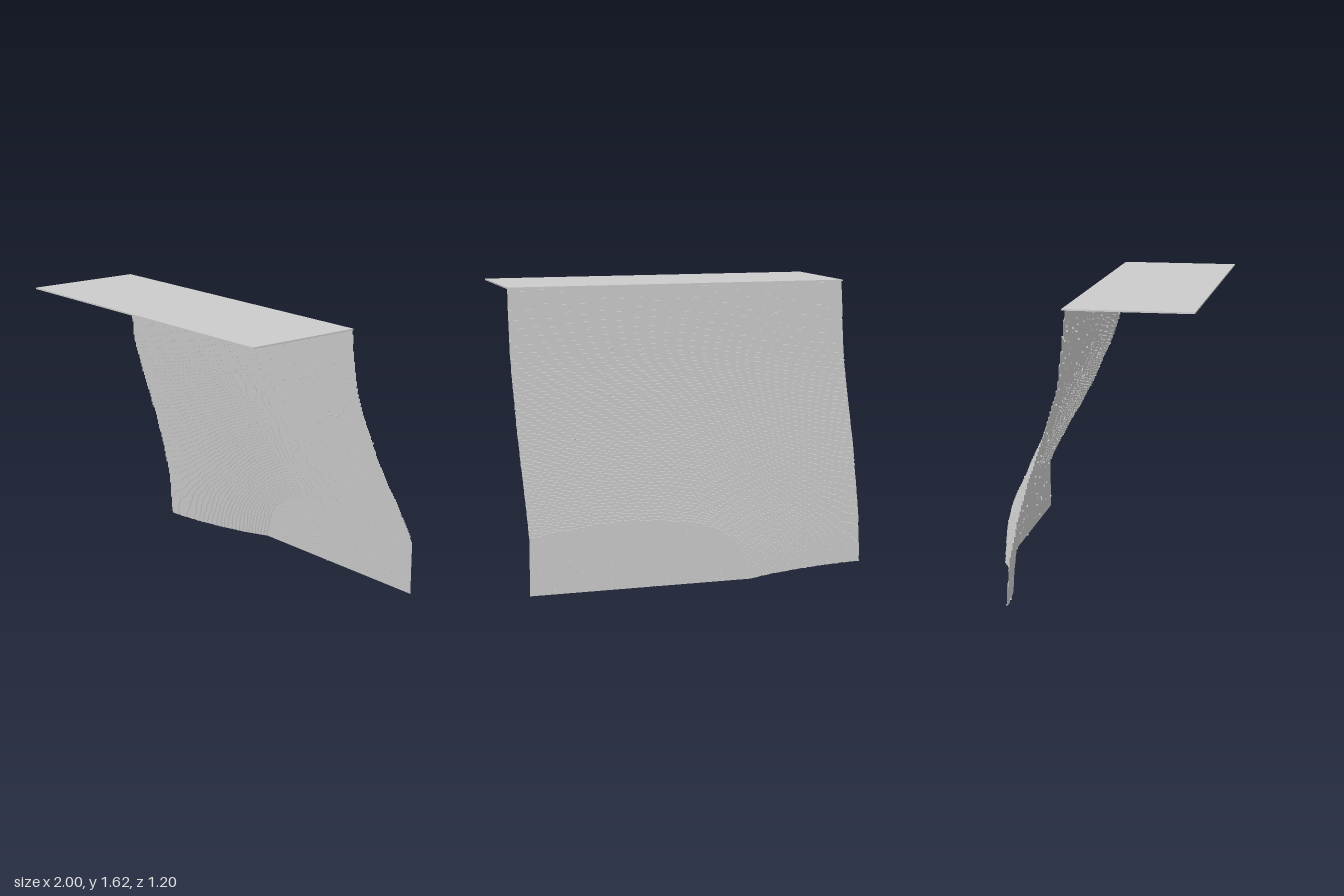
import * as THREE from 'three';

const CELL = 1 / 120, COLS = 240, ROWS = 194, FLOOR = -71;

// Smooth curve through evenly spaced values, sampled by t in 0..1
function smoothCurve(values) {
  const curve = new THREE.SplineCurve(values.map((v, i) => new THREE.Vector2(i, v)));
  return t => curve.getPoint(t).y;
}

// Slope profiles (z every 0.2 of height): shallow end and deepest part
const shallow = smoothCurve([-0.402, -0.388, -0.354, -0.303, -0.243, -0.177, -0.121, -0.095, -0.078, -0.074]);
const deep = smoothCurve([-0.72, -0.685, -0.578, -0.484, -0.377, -0.278, -0.175, -0.12, -0.091, -0.088]);
// How far the hollow has developed along x, low down and high up
const hollowLow = smoothCurve([0, 0.06, 0.2, 0.4, 0.66, 0.87, 0.96, 1, 0.98, 0.93, 0.86]);
const hollowHigh = smoothCurve([0, 0.09, 0.26, 0.47, 0.72, 0.91, 1, 0.96, 0.86, 0.74, 0.62]);

function seeded(seed) {
  return () => {
    seed = (seed * 16807) % 2147483647;
    return seed / 2147483647;
  };
}

// Depth of every cell, in whole steps
function buildLevels() {
  const random = seeded(71), levels = [];
  for (let j = 0; j < ROWS; j++) {
    const y = (j + 0.5) * CELL, t = y / 1.8;
    const a = shallow(t), b = deep(t), row = [];
    const height = THREE.MathUtils.smoothstep(y, 0.4, 0.9);
    for (let i = 0; i < COLS; i++) {
      const u = (i + 0.5) / COLS;
      const wobble = 0.12 * (Math.sin(i * 0.28 + j * 0.14) + Math.sin(i * 0.12 - j * 0.25));
      const z = a + (b - a) * THREE.MathUtils.lerp(hollowLow(u), hollowHigh(u), height);
      let level = Math.max(FLOOR, Math.round(z / CELL + wobble));
      const chance = random();
      if (chance < 0.004) level -= 1; // single-cell pits
      else if (chance > 0.996) level += 1; // single-cell bumps
      row.push(level);
    }
    levels.push(row);
  }
  return levels;
}

// Calls emit(start, end) for each run of cells sharing the same key
function forRuns(count, key, emit) {
  let start = 0;
  for (let i = 1; i <= count; i++) {
    if (i === count || key(i) !== key(start)) {
      emit(start, i);
      start = i;
    }
  }
}

function steppedWallGeometry() {
  const levels = buildLevels(), positions = [];
  const quad = (a, b, c, d) => positions.push(...a, ...b, ...c, ...a, ...c, ...d);
  const X = i => -1 + i * CELL, Y = j => j * CELL, Z = k => k * CELL;

  for (let j = 0; j < ROWS; j++) {
    const row = levels[j], y0 = Y(j), y1 = Y(j + 1);
    // Upright faces
    forRuns(COLS, i => row[i], (s, e) => {
      const z = Z(row[s]);
      quad([X(s), y0, z], [X(e), y0, z], [X(e), y1, z], [X(s), y1, z]);
    });
    // Ledges up to the next row
    if (j + 1 < ROWS) {
      const next = levels[j + 1];
      forRuns(COLS, i => row[i] * 1000 + next[i], (s, e) => {
        if (row[s] === next[s]) return;
        const z0 = Z(row[s]), z1 = Z(next[s]);
        quad([X(s), y1, z0], [X(e), y1, z0], [X(e), y1, z1], [X(s), y1, z1]);
      });
    }
  }
  // Side faces between neighbouring columns
  for (let i = 1; i < COLS; i++) {
    forRuns(ROWS, j => levels[j][i - 1] * 1000 + levels[j][i], (s, e) => {
      const z0 = Z(levels[s][i - 1]), z1 = Z(levels[s][i]);
      if (z0 === z1) return;
      quad([X(i), Y(s), z0], [X(i), Y(s), z1], [X(i), Y(e), z1], [X(i), Y(e), z0]);
    });
  }

  const geometry = new THREE.BufferGeometry();
  geometry.setAttribute('position', new THREE.Float32BufferAttribute(positions, 3));
  geometry.computeVertexNormals();
  return geometry;
}

export function createModel() {
  const group = new THREE.Group();
  group.name = 'steppedSlope';
  const material = new THREE.MeshStandardMaterial({ color: 0xcccccc, side: THREE.DoubleSide });

  const wall = new THREE.Mesh(steppedWallGeometry(), material);
  wall.name = 'steppedWall';
  group.add(wall);

  // Thin slab reaching forward from the top edge
  const back = -11 * CELL, front = 0.6;
  const plateau = new THREE.Mesh(new THREE.BoxGeometry(2, CELL, front - back), material);
  plateau.name = 'plateau';
  plateau.position.set(0, (ROWS + 0.5) * CELL, (front + back) / 2);
  group.add(plateau);

  return group;
}
